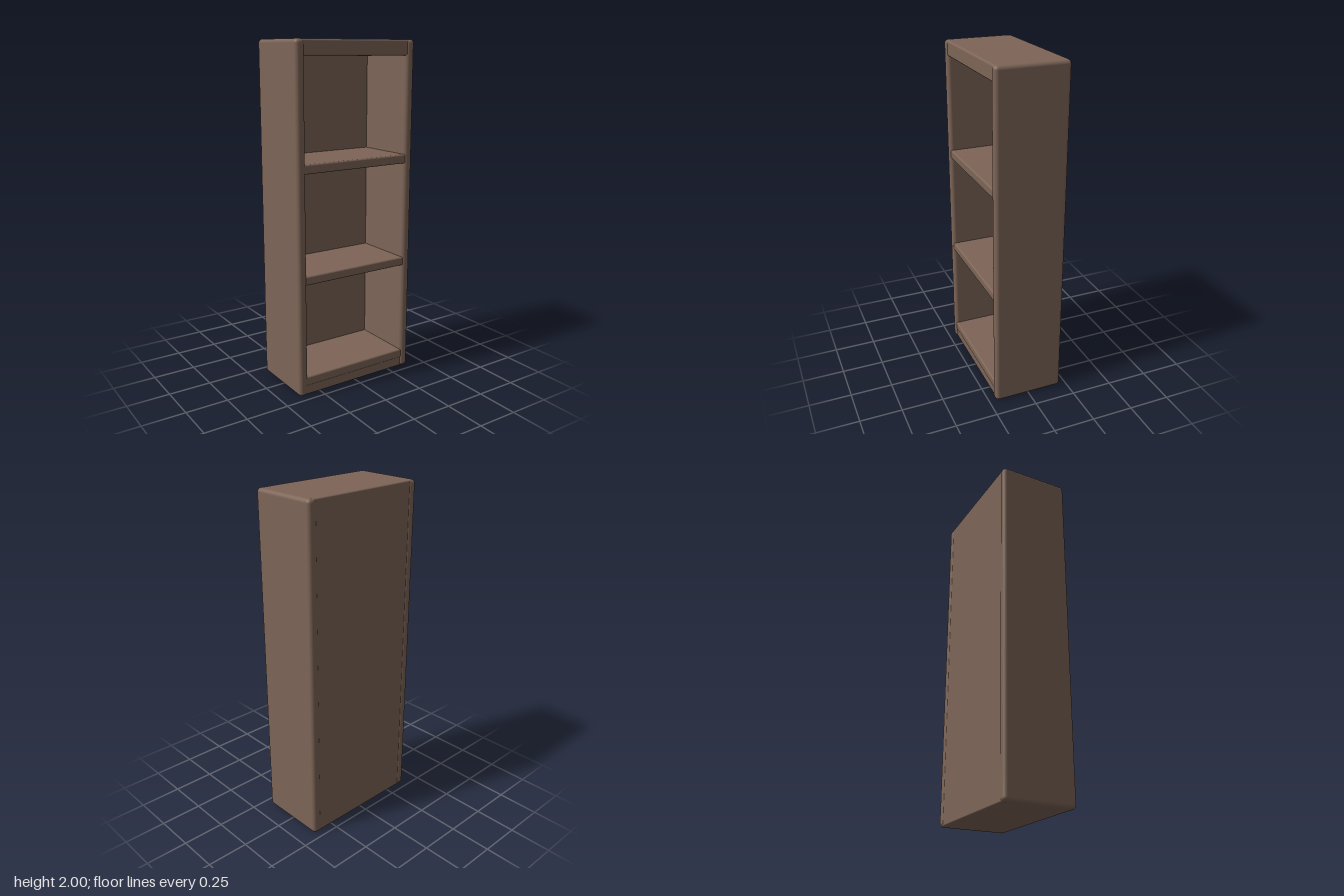
import * as THREE from 'three';
import { RoundedBoxGeometry } from 'three/addons/geometries/RoundedBoxGeometry.js';

export function createModel() {
  const group = new THREE.Group();
  group.name = 'bookcase';
  const wood = new THREE.MeshStandardMaterial({ color: 0x7d6557 });
  wood.name = 'brown wood';

  // Softly rounded board given by its extents on each axis
  const board = (name, [x0, x1], [y0, y1], [z0, z1], radius) => {
    const geometry = new RoundedBoxGeometry(x1 - x0, y1 - y0, z1 - z0, 4, radius);
    const mesh = new THREE.Mesh(geometry, wood);
    mesh.name = name;
    mesh.position.set((x0 + x1) / 2, (y0 + y1) / 2, (z0 + z1) / 2);
    group.add(mesh);
  };

  // Full-height side panels, slightly proud of the boards between them
  board('leftSide', [0.337, 0.393], [0, 2], [-0.21, 0.21], 0.022);
  board('rightSide', [-0.393, -0.337], [0, 2], [-0.21, 0.21], 0.022);

  // Boards running between the sides
  const span = [-0.365, 0.365];
  board('topBoard', span, [1.91, 1.999], [-0.205, 0.204], 0.012);
  board('upperShelf', span, [1.291, 1.345], [-0.19, 0.204], 0.01);
  board('lowerShelf', span, [0.664, 0.717], [-0.19, 0.204], 0.01);
  board('bottomShelf', span, [0.058, 0.113], [-0.19, 0.204], 0.01);

  // Closed base below the bottom shelf
  board('plinth', span, [0.001, 0.075], [-0.205, 0.2], 0.01);

  // Back panel closing the compartments
  board('backPanel', span, [0.002, 1.998], [-0.205, -0.17], 0.008);

  return group;
}
